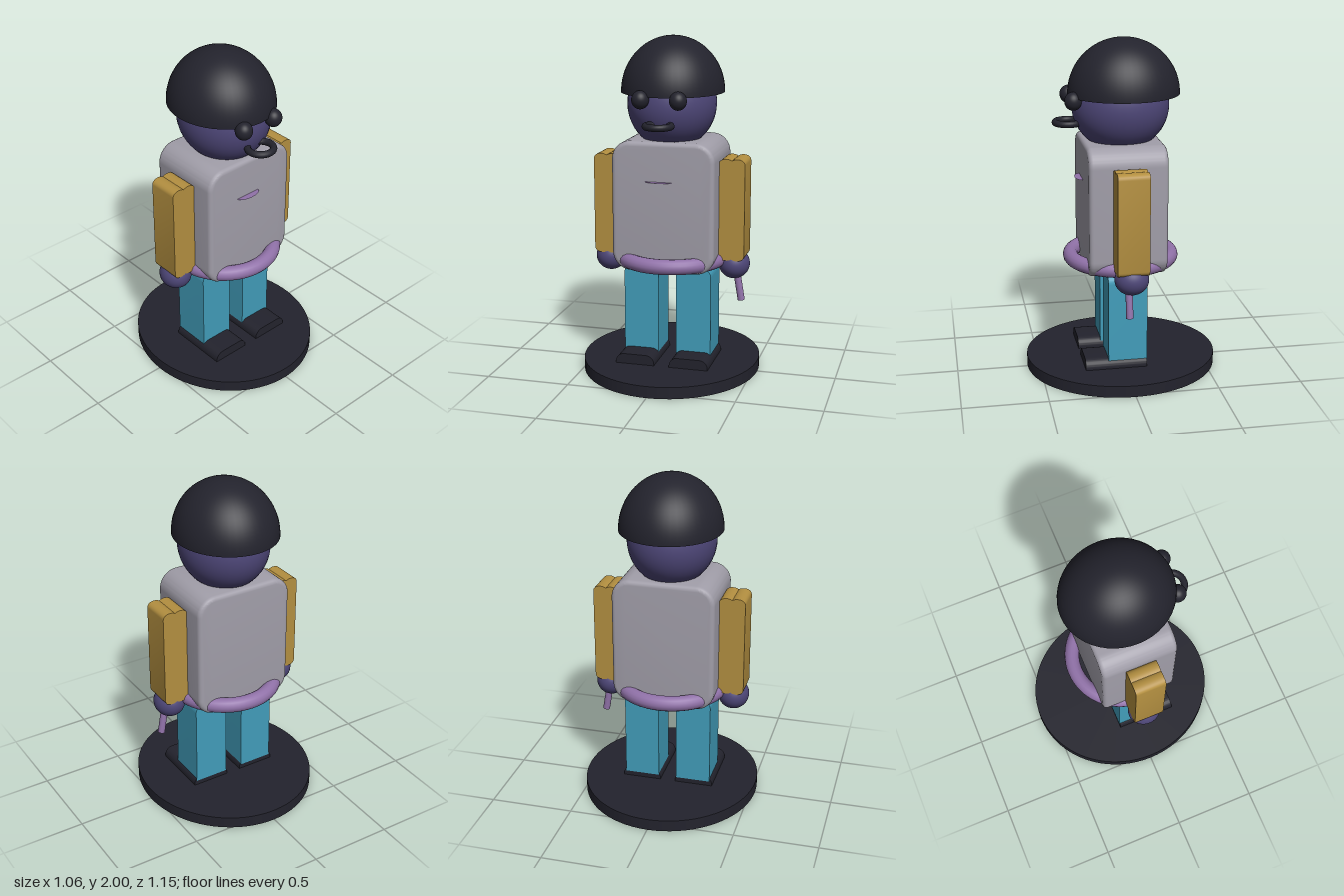
import * as THREE from 'three';
import { toCreasedNormals } from 'three/addons/utils/BufferGeometryUtils.js';

const mat = (name, color, side = THREE.FrontSide) => {
  const m = new THREE.MeshStandardMaterial({ color, side });
  m.name = name;
  return m;
};

// Rectangle with separate corner radii for the top and the bottom
function roundedRect(x0, x1, y0, y1, top, bottom) {
  const s = new THREE.Shape();
  s.moveTo(x0 + bottom, y0);
  s.lineTo(x1 - bottom, y0);
  if (bottom) s.absarc(x1 - bottom, y0 + bottom, bottom, -Math.PI / 2, 0);
  s.lineTo(x1, y1 - top);
  s.absarc(x1 - top, y1 - top, top, 0, Math.PI / 2);
  s.lineTo(x0 + top, y1);
  s.absarc(x0 + top, y1 - top, top, Math.PI / 2, Math.PI);
  s.lineTo(x0, y0 + bottom);
  if (bottom) s.absarc(x0 + bottom, y0 + bottom, bottom, Math.PI, Math.PI * 1.5);
  return s;
}

// Sleeve outline with two soft lobes at each end
function sleeveShape(w, y0, y1) {
  const s = new THREE.Shape(), n = 0.012, c = 0.035;
  s.moveTo(-w, y0 + c);
  s.bezierCurveTo(-w, y0, -w * 0.3, y0 - 0.005, 0, y0 + n);
  s.bezierCurveTo(w * 0.3, y0 - 0.005, w, y0, w, y0 + c);
  s.lineTo(w, y1 - c);
  s.bezierCurveTo(w, y1, w * 0.3, y1 + 0.005, 0, y1 - n);
  s.bezierCurveTo(-w * 0.3, y1 + 0.005, -w, y1, -w, y1 - c);
  return s;
}

// Extrudes a front outline from z0 to z1, with an optional rounded edge
function slab(shape, z0, z1, bevel = 0) {
  const g = new THREE.ExtrudeGeometry(shape, {
    depth: z1 - z0 - 2 * bevel, curveSegments: 10, bevelEnabled: bevel > 0,
    bevelSize: bevel, bevelThickness: bevel, bevelOffset: -bevel, bevelSegments: 4,
  });
  g.translate(0, 0, z0 + bevel);
  return toCreasedNormals(g, 0.6);
}

export function createModel() {
  const group = new THREE.Group();
  const dark = mat('charcoal', 0x23232d);
  const darkShell = mat('charcoalShell', 0x23232d, THREE.DoubleSide);
  const skin = mat('indigo', 0x4d4677);
  const grey = mat('grey', 0xa19ea9);
  const gold = mat('gold', 0xb38f40);
  const blue = mat('blue', 0x429dba);
  const violet = mat('violet', 0x9172a9, THREE.DoubleSide);

  const add = (name, geometry, material, x = 0, y = 0, z = 0) => {
    const m = new THREE.Mesh(geometry, material);
    m.name = name;
    m.position.set(x, y, z);
    group.add(m);
    return m;
  };
  const ball = (rx, ry, rz) => new THREE.SphereGeometry(1, 40, 28).scale(rx, ry, rz);

  // Oval stand
  add('stand', new THREE.CylinderGeometry(1, 1, 0.07, 72).scale(0.53, 1, 0.575), dark, 0, 0.035);

  // Torso, belt ring and small chest plate
  add('torso', slab(roundedRect(-0.305, 0.305, 0.64, 1.41, 0.11, 0.11), -0.23, 0.23, 0.025), grey);
  add('belt', new THREE.TorusGeometry(0.3, 0.045, 16, 64).rotateX(Math.PI / 2), violet, 0, 0.697);
  add('chestPlate', new THREE.CircleGeometry(0.08, 24).rotateX(-Math.PI / 2).scale(1, 1, 0.5),
    violet, -0.02, 1.18, 0.23);

  // Head, helmet and mouth ring
  add('head', ball(0.26, 0.27, 0.285), skin, 0, 1.61);
  add('helmet', new THREE.SphereGeometry(1, 48, 20, 0, Math.PI * 2, 0, Math.PI / 2)
    .scale(0.302, 0.325, 0.327), darkShell, 0, 1.675, -0.02);
  add('mouth', new THREE.TorusGeometry(0.073, 0.02, 12, 36).rotateX(Math.PI / 2), dark, 0, 1.517, 0.308);

  // Paired parts
  for (const [side, s] of [['left', 1], ['right', -1]]) {
    add(side + 'Eye', ball(0.05, 0.053, 0.05), dark, s * 0.11, 1.66, 0.29);
    add(side + 'Arm', slab(sleeveShape(0.077, 0.7, 1.31), -0.092, 0.092), gold, s * 0.379);
    add(side + 'Hand', ball(0.092, 0.09, 0.1), skin, s * 0.381, 0.667);
    add(side + 'Leg', slab(roundedRect(-0.105, 0.105, 0.1, 0.648, 0.05, 0), -0.116, 0.116), blue, s * 0.16);
    add(side + 'Shoe', slab(roundedRect(-0.117, 0.117, 0.065, 0.13, 0.05, 0), -0.113, 0.254), dark, s * 0.163);
  }

  // Short rod held in the left hand
  const rod = add('rod', new THREE.CylinderGeometry(0.021, 0.021, 0.22, 20), violet, 0.412, 0.557, 0.02);
  rod.rotation.z = 0.165;

  return group;
}
